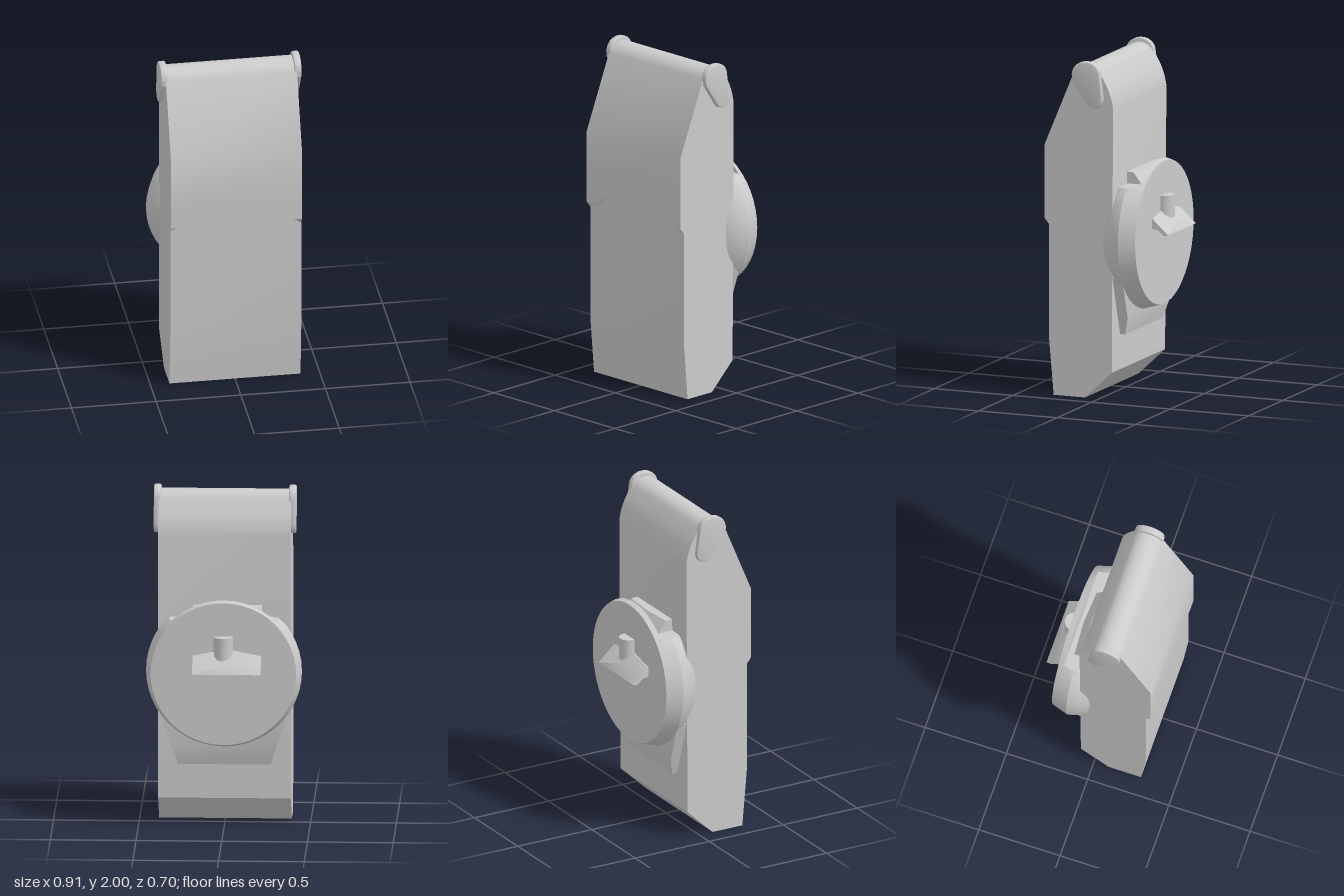
import * as THREE from 'three';
import { toCreasedNormals } from 'three/addons/utils/BufferGeometryUtils.js';

const material = new THREE.MeshStandardMaterial({ color: 0xcccccc });

function add(group, name, geometry, crease = 0.5) {
  const mesh = new THREE.Mesh(toCreasedNormals(geometry, crease), material);
  mesh.name = name;
  group.add(mesh);
  return mesh;
}

const polygon = (points) => new THREE.Shape(points.map(([a, b]) => new THREE.Vector2(a, b)));

// Extrudes a (z, y) outline along x, centred on x = 0
function prism(shape, width, options = {}) {
  const g = new THREE.ExtrudeGeometry(shape, { depth: width, bevelEnabled: false, curveSegments: 10, ...options });
  g.translate(0, 0, -width / 2);
  g.rotateY(-Math.PI / 2);
  return g;
}

// Moves every vertex by a rule that edits the vector in place
function deform(geometry, rule) {
  const p = geometry.attributes.position;
  const v = new THREE.Vector3();
  for (let i = 0; i < p.count; i++) {
    v.fromBufferAttribute(p, i);
    rule(v);
    p.setXYZ(i, v.x, v.y, v.z);
  }
  return geometry;
}

export function createModel() {
  const model = new THREE.Group();
  model.name = 'model';
  const half = 0.387;

  // Main body: side outline with a rounded top
  const side = polygon([[-0.08, 0.16], [0.09, 0], [0.29, 0], [0.32, 0.34], [0.32, 1.2], [0.35, 1.2], [0.35, 1.48], [0.165, 1.92]]);
  side.bezierCurveTo(0.135, 1.99, 0.035, 1.995, 0, 1.94);
  side.bezierCurveTo(-0.045, 1.87, -0.075, 1.82, -0.088, 1.73);
  add(model, 'body', prism(side, half * 2));

  // Raised upper front panel with an arched lower edge and chamfered corners
  const panel = new THREE.Shape();
  panel.moveTo(half, 1.2);
  panel.lineTo(-half, 1.2);
  panel.lineTo(-half, 0.99);
  panel.quadraticCurveTo(-0.2, 1.16, 0, 1.16);
  panel.quadraticCurveTo(0.2, 1.16, half, 0.99);
  const panelGeometry = new THREE.ExtrudeGeometry(panel, { depth: 0.05, bevelEnabled: false, curveSegments: 14 });
  panelGeometry.translate(0, 0, 0.3);
  deform(panelGeometry, (v) => {
    if (v.z > 0.34) v.y = Math.max(v.y, 1.05);
  });
  add(model, 'frontPanel', panelGeometry);

  // Teardrop caps at both ends of the top edge
  const drop = new THREE.Shape();
  drop.moveTo(0.16, 1.89);
  drop.bezierCurveTo(0.19, 2.022, -0.01, 2.032, -0.008, 1.92);
  drop.lineTo(-0.025, 1.79);
  drop.bezierCurveTo(-0.03, 1.725, 0.04, 1.715, 0.065, 1.75);
  for (const s of [-1, 1]) {
    const cap = add(model, s > 0 ? 'leftTopCap' : 'rightTopCap', prism(drop, 0.026, {
      bevelEnabled: true, bevelThickness: 0.008, bevelSize: 0.008, bevelOffset: -0.004, bevelSegments: 2,
    }));
    cap.position.x = s * 0.394;
  }

  // Wedge plate under the disc, narrowing downward
  const wedge = prism(polygon([[-0.06, 0.37], [-0.115, 0.37], [-0.145, 0.48], [-0.145, 0.72], [-0.06, 0.72]]), 2);
  deform(wedge, (v) => {
    v.x *= THREE.MathUtils.mapLinear(v.y, 0.37, 0.72, 0.27, half - 0.003);
  });
  add(model, 'lowerWedge', wedge);

  // Round back disc: bulging rim, cut flat on top behind a thin lip
  const profile = [[0, 0.015], [0.375, 0.015], [0.405, 0.04], [0.428, 0.075], [0.446, 0.11], [0.455, 0.148],
    [0.445, 0.18], [0.436, 0.21], [0.435, 0.213], [0.425, 0.245], [0, 0.245]];
  const disc = new THREE.LatheGeometry(profile.map(([r, d]) => new THREE.Vector2(r, d)), 48);
  disc.rotateX(-Math.PI / 2);
  deform(disc, (v) => {
    if (v.z > -0.212) v.y = Math.min(v.y, 0.31);
  });
  add(model, 'backDisc', disc, 0.45).position.y = 0.94;

  // Catch block in the flat on top of the disc
  const block = prism(polygon([[-0.07, 1.2], [-0.07, 1.32], [-0.14, 1.318], [-0.188, 1.255], [-0.188, 1.2]]), 0.4, { steps: 2 });
  deform(block, (v) => {
    if (v.z < -0.1) v.z += 0.06 * Math.abs(v.x);
  });
  add(model, 'topCatch', block).position.x = -0.02;

  // Grip bar on the disc, its upper edge peaked in the middle
  const bar = prism(polygon([[-0.235, 1.09], [-0.25, 1.09], [-0.325, 1.02], [-0.348, 0.96], [-0.32, 0.955],
    [-0.285, 0.985], [-0.235, 0.992]]), 0.4, { steps: 2 });
  deform(bar, (v) => {
    if (v.y > 1) v.y -= 0.2 * Math.abs(v.x);
  });
  add(model, 'gripBar', bar).position.x = -0.02;

  // Upright half-round post above the grip bar
  const post = add(model, 'gripPost', new THREE.CylinderGeometry(0.056, 0.056, 0.155, 16));
  post.position.set(0, 1.088, -0.252);

  return model;
}
